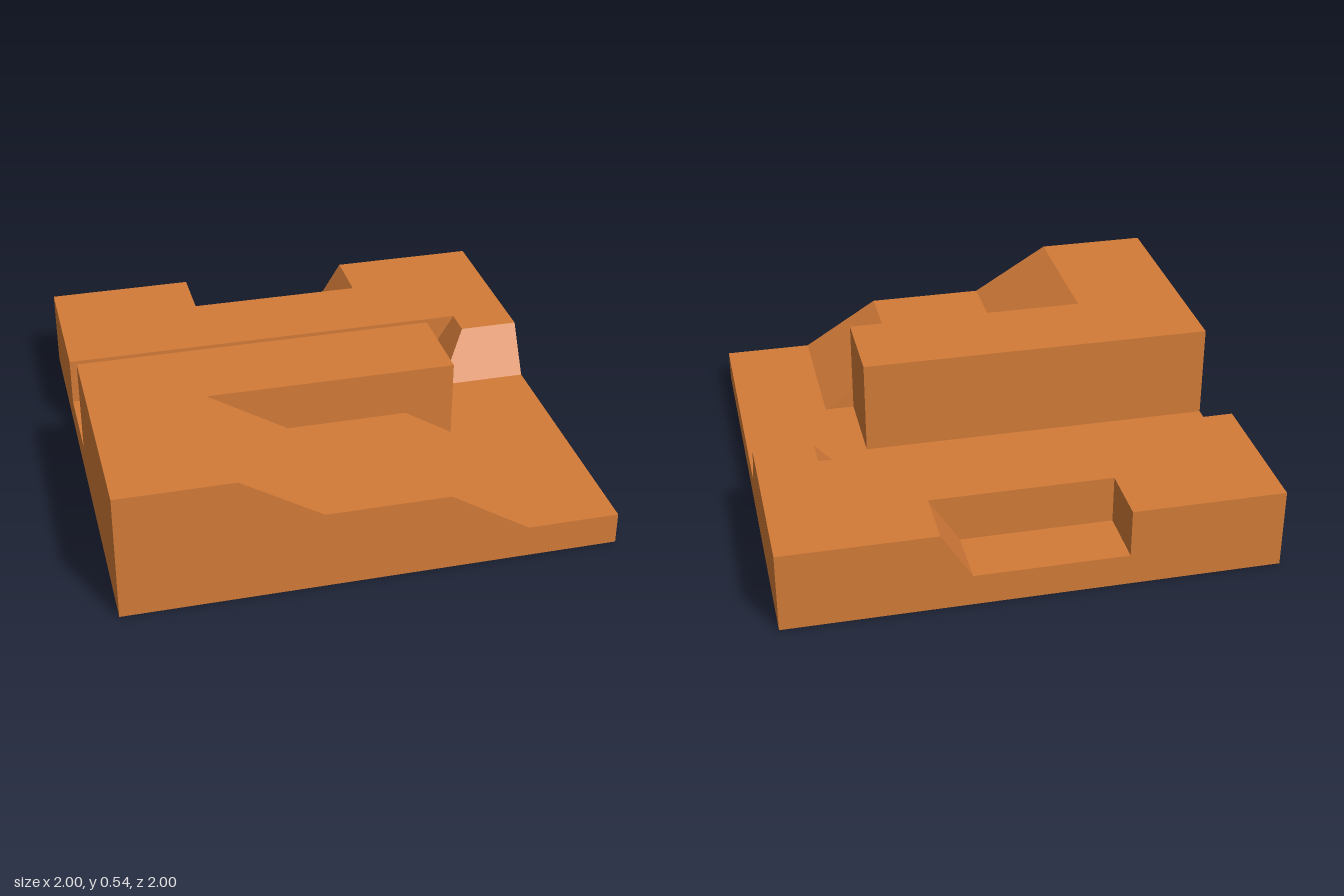
import * as THREE from 'three';
import { ConvexGeometry } from 'three/addons/geometries/ConvexGeometry.js';

const LOW = 0.133, MID = 0.335, TOP = 0.535; // floor, terrace and upper heights

export function createModel() {
  const group = new THREE.Group();
  const material = new THREE.MeshStandardMaterial({ color: 0xd27b38, flatShading: true });

  const add = (name, geometry) => {
    const mesh = new THREE.Mesh(geometry, material);
    mesh.name = name;
    group.add(mesh);
  };

  // A full-width slab from z0 to z1 whose upper outline is a list of [x, y]
  const slab = (name, z0, z1, outline) => {
    const shape = new THREE.Shape([[-1, 0], [1, 0], ...outline].map(([x, y]) => new THREE.Vector2(x, y)));
    const geometry = new THREE.ExtrudeGeometry(shape, { depth: z1 - z0, bevelEnabled: false });
    geometry.translate(0, 0, z0);
    add(name, geometry);
  };

  // Stepped slope along the front
  slab('frontSlope', 0.375, 1, [
    [1, LOW], [0.625, LOW], [0.3, MID], [-0.2, MID], [-0.53, TOP], [-1, TOP],
  ]);
  // Tall wall with a sheer end
  slab('middleWall', 0, 0.375, [[1, LOW], [0.5, LOW], [0.5, TOP], [-1, TOP]]);
  // Sunken channel behind the wall
  slab('channelFloor', -0.25, 0, [[1, LOW], [-1, LOW]]);
  // Channel closed off by a ramp at its end
  slab('channelEnd', -0.375, -0.25, [[1, MID], [0.75, MID], [0.625, LOW], [-1, LOW]]);
  // Rear terrace
  slab('rearTerrace', -0.75, -0.375, [[1, MID], [-1, MID]]);
  // Rear edge with a notch: one ramped side, one sheer side
  slab('rearNotch', -1, -0.75, [
    [1, MID], [0.375, MID], [0.25, LOW], [-0.375, LOW], [-0.375, MID], [-1, MID],
  ]);

  // Ramp wrapping the outer corner of the terrace
  add('cornerRamp', new ConvexGeometry([
    [0.625, LOW, -0.125], [1, LOW, -0.125], [0.625, LOW, -0.25],
    [1, LOW, -0.25], [0.75, MID, -0.25], [1, MID, -0.25],
  ].map((p) => new THREE.Vector3(...p))));

  return group;
}
